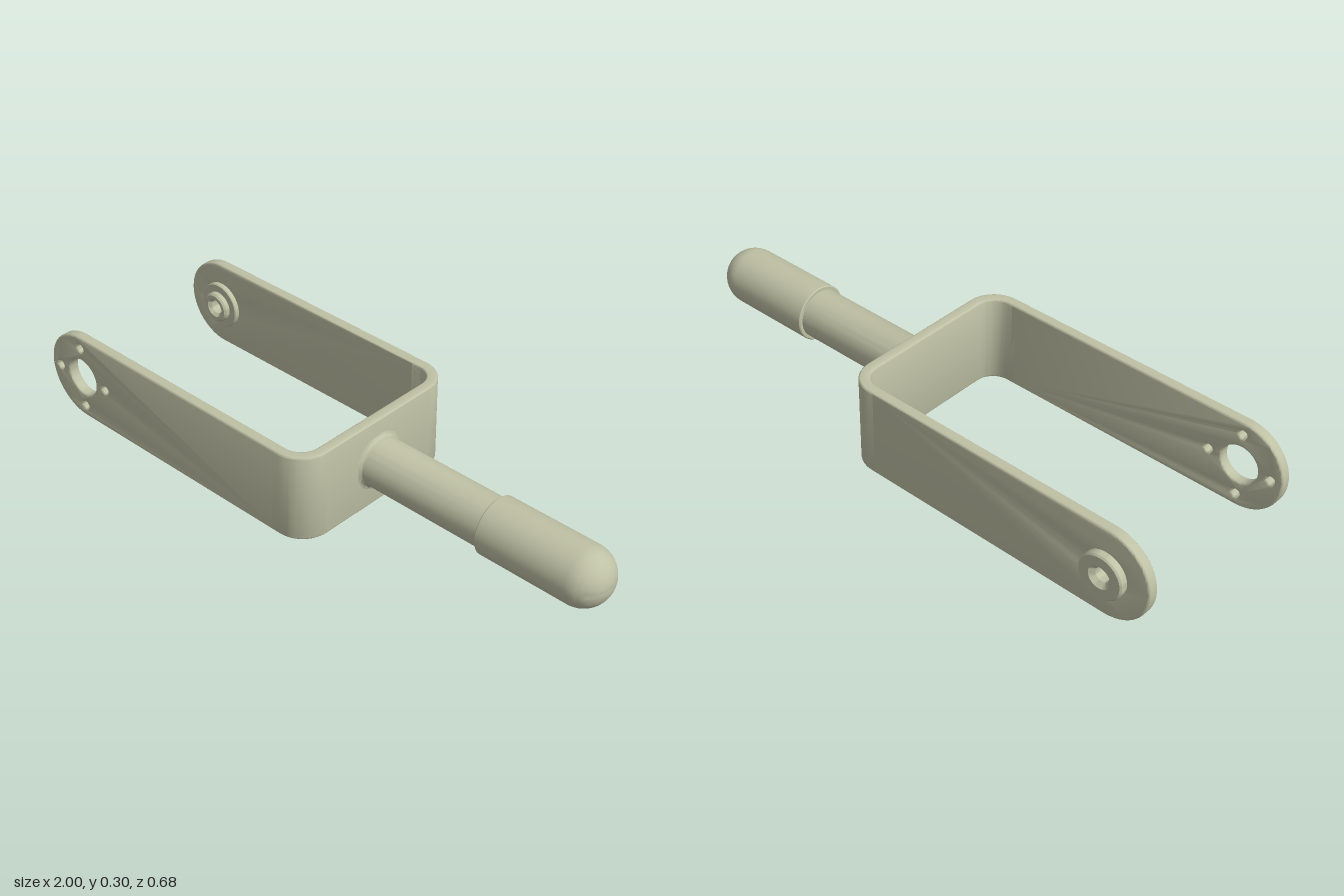
import * as THREE from 'three';
import { toCreasedNormals } from 'three/addons/utils/BufferGeometryUtils.js';

const MID = 0.15, HALF = 0.15, THICK = 0.036, BEVEL = 0.006;
const PIVOT_X = -0.85, ROD_Z = 0.0135;
const BACK = -0.314, FRONT = 0.338, BEND = 0.1, BEND_X = 0.04;

// Flat strap with a round end, pierced by [x, y, radius] holes
function armGeometry(holes, z) {
  const shape = new THREE.Shape();
  shape.moveTo(0.03, 0);
  shape.lineTo(0.03, 2 * HALF);
  shape.lineTo(PIVOT_X, 2 * HALF);
  shape.absarc(PIVOT_X, MID, HALF, Math.PI / 2, Math.PI * 1.5, false);
  shape.closePath();
  for (const [x, y, r] of holes) {
    shape.holes.push(new THREE.Path().absarc(x, y, r, 0, Math.PI * 2, true));
  }
  const geo = new THREE.ExtrudeGeometry(shape, {
    depth: THICK - 2 * BEVEL, bevelEnabled: true, bevelThickness: BEVEL,
    bevelSize: BEVEL, bevelOffset: -BEVEL, bevelSegments: 3, curveSegments: 24,
  });
  geo.translate(0, 0, z + BEVEL);
  return toCreasedNormals(geo, 0.6);
}

// Rounded strap section swept around the two bends
function bridgeGeometry() {
  const section = [];
  const corners = [[THICK - BEVEL, BEVEL, -90], [THICK - BEVEL, 2 * HALF - BEVEL, 0],
    [BEVEL, 2 * HALF - BEVEL, 90], [BEVEL, BEVEL, 180]];
  for (const [u, v, start] of corners) {
    for (let i = 0; i <= 3; i++) {
      const a = THREE.MathUtils.degToRad(start + i * 30);
      section.push([u + BEVEL * Math.cos(a), v + BEVEL * Math.sin(a)]);
    }
  }
  const stations = [[0.01, BACK + BEND, -Math.PI / 2]];
  for (const [z, start] of [[BACK + BEND, -Math.PI / 2], [FRONT - BEND, 0]]) {
    for (let i = 0; i <= 12; i++) stations.push([BEND_X, z, start + (i / 12) * Math.PI / 2]);
  }
  stations.push([0.01, FRONT - BEND, Math.PI / 2]);

  const pos = [], index = [], n = section.length;
  stations.forEach(([x, z, a], i) => {
    section.forEach(([u, v], j) => {
      const r = BEND - THICK + u;
      pos.push(x + r * Math.cos(a), v, z + r * Math.sin(a));
      if (i === stations.length - 1) return;
      const p = i * n + j, q = i * n + (j + 1) % n;
      index.push(p, q, p + n, q, q + n, p + n);
    });
  });
  const geo = new THREE.BufferGeometry();
  geo.setAttribute('position', new THREE.Float32BufferAttribute(pos, 3));
  geo.setIndex(index);
  return toCreasedNormals(geo, 0.6);
}

// Turned part: points are [radius, height along the axis]
function turned(points) {
  const geo = new THREE.LatheGeometry(points.map(([r, h]) => new THREE.Vector2(r, h)), 48);
  return toCreasedNormals(geo, 0.6);
}

export function createModel() {
  const group = new THREE.Group();
  const material = new THREE.MeshStandardMaterial({ color: 0xbfc1a5 });
  const add = (name, geo) => {
    const mesh = new THREE.Mesh(geo, material);
    mesh.name = name;
    group.add(mesh);
    return mesh;
  };

  // Fork: front arm with a large hole and four small ones, back arm with the bushing hole
  const frontHoles = [[PIVOT_X, MID, 0.064]];
  for (let i = 0; i < 4; i++) {
    const a = i * Math.PI / 2;
    frontHoles.push([PIVOT_X + 0.109 * Math.cos(a), MID + 0.109 * Math.sin(a), 0.014]);
  }
  add('frontArm', armGeometry(frontHoles, FRONT - THICK));
  add('backArm', armGeometry([[PIVOT_X, MID, 0.045]], BACK));
  add('bridge', bridgeGeometry());

  // Stepped bushing through the back arm, with a countersunk bore
  const bushing = add('bushing', turned([
    [0.024, -0.325], [0.038, -0.34], [0.07, -0.34], [0.075, -0.335], [0.075, -0.312],
    [0.046, -0.312], [0.046, -0.28], [0.08, -0.28], [0.08, -0.264], [0.077, -0.261],
    [0.052, -0.261], [0.052, -0.246], [0.046, -0.24], [0.034, -0.24], [0.024, -0.25],
    [0.024, -0.325],
  ]));
  bushing.rotation.x = Math.PI / 2;
  bushing.position.set(PIVOT_X, MID, 0);

  // Rod with a small fillet where it meets the bridge
  const rodPoints = [[0, 0.12], [0.097, 0.12]];
  for (let i = 0; i <= 6; i++) {
    const a = (i / 6) * Math.PI / 2;
    rodPoints.push([0.097 - 0.015 * Math.sin(a), 0.155 - 0.015 * Math.cos(a)]);
  }
  rodPoints.push([0.082, 0.6]);

  // Grip with a domed end
  const gripPoints = [[0, 0.59], [0.092, 0.59], [0.095, 0.593]];
  for (let i = 0; i <= 16; i++) {
    const a = (i / 16) * Math.PI / 2;
    gripPoints.push([0.095 * Math.cos(a), 0.905 + 0.095 * Math.sin(a)]);
  }
  for (const [name, points] of [['rod', rodPoints], ['grip', gripPoints]]) {
    const mesh = add(name, turned(points));
    mesh.rotation.z = -Math.PI / 2;
    mesh.position.set(0, MID, ROD_Z);
  }
  return group;
}
